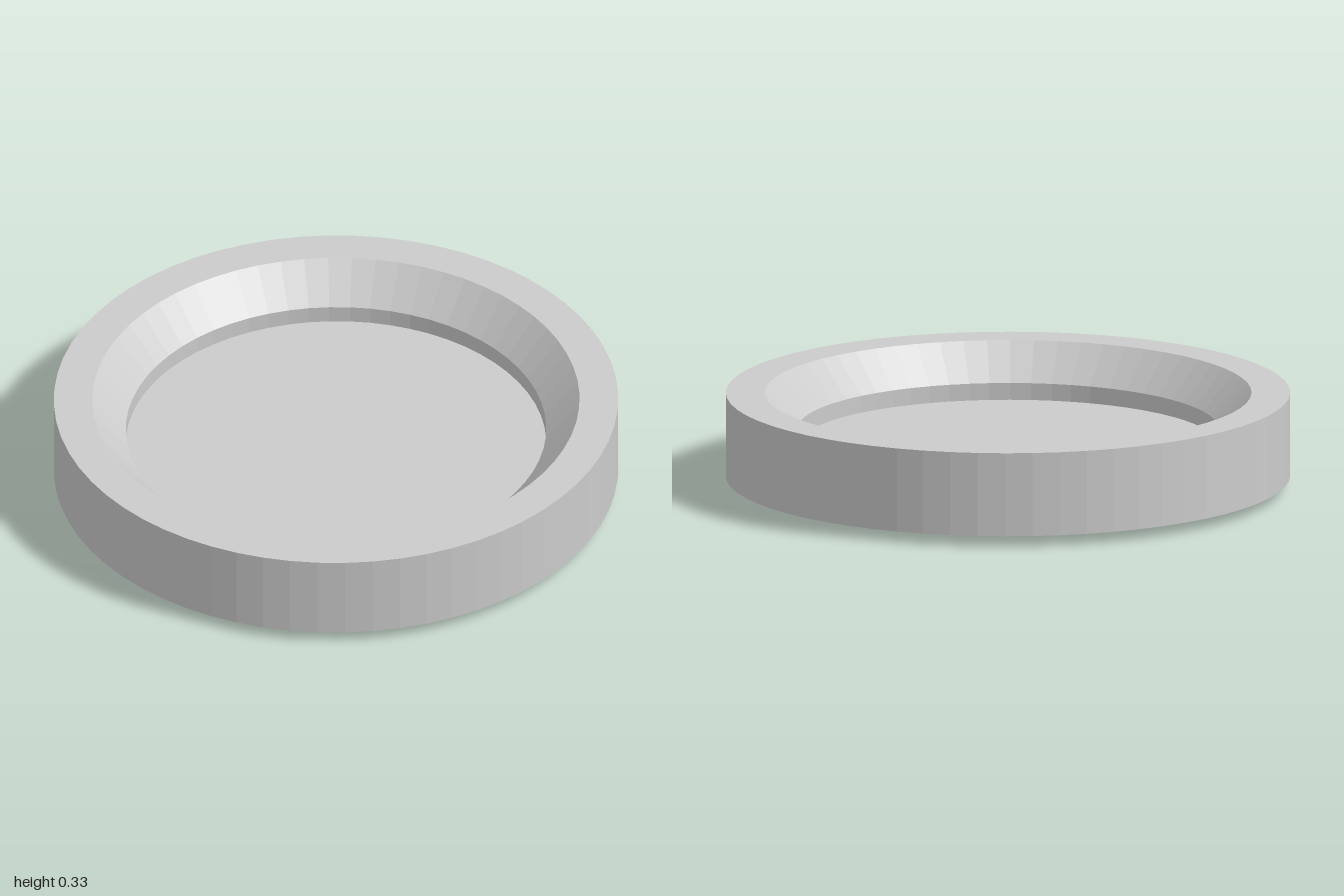
import * as THREE from 'three';

const SEGMENTS = 64;
const material = new THREE.MeshStandardMaterial({ color: 0xcccccc, flatShading: true });

// Revolve a closed [radius, height] profile around the y axis
function turned(name, profile) {
  const points = profile.map(([r, y]) => new THREE.Vector2(r, y));
  const mesh = new THREE.Mesh(new THREE.LatheGeometry(points, SEGMENTS), material);
  mesh.name = name;
  return mesh;
}

export function createModel() {
  const group = new THREE.Group();
  group.name = 'shallowDish';

  group.add(turned('dish', [
    [0, 0], [0.755, 0],          // foot underside
    [0.755, 0.037],              // foot wall
    [1, 0.037], [1, 0.334],      // rim underside and outer wall
    [0.863, 0.334],              // flat rim top
    [0.745, 0.206],              // sloped inner wall
    [0.745, 0.146], [0, 0.146],  // short upright wall and floor
  ]));

  // Slightly oval plan
  group.scale.x = 0.987;
  return group;
}
